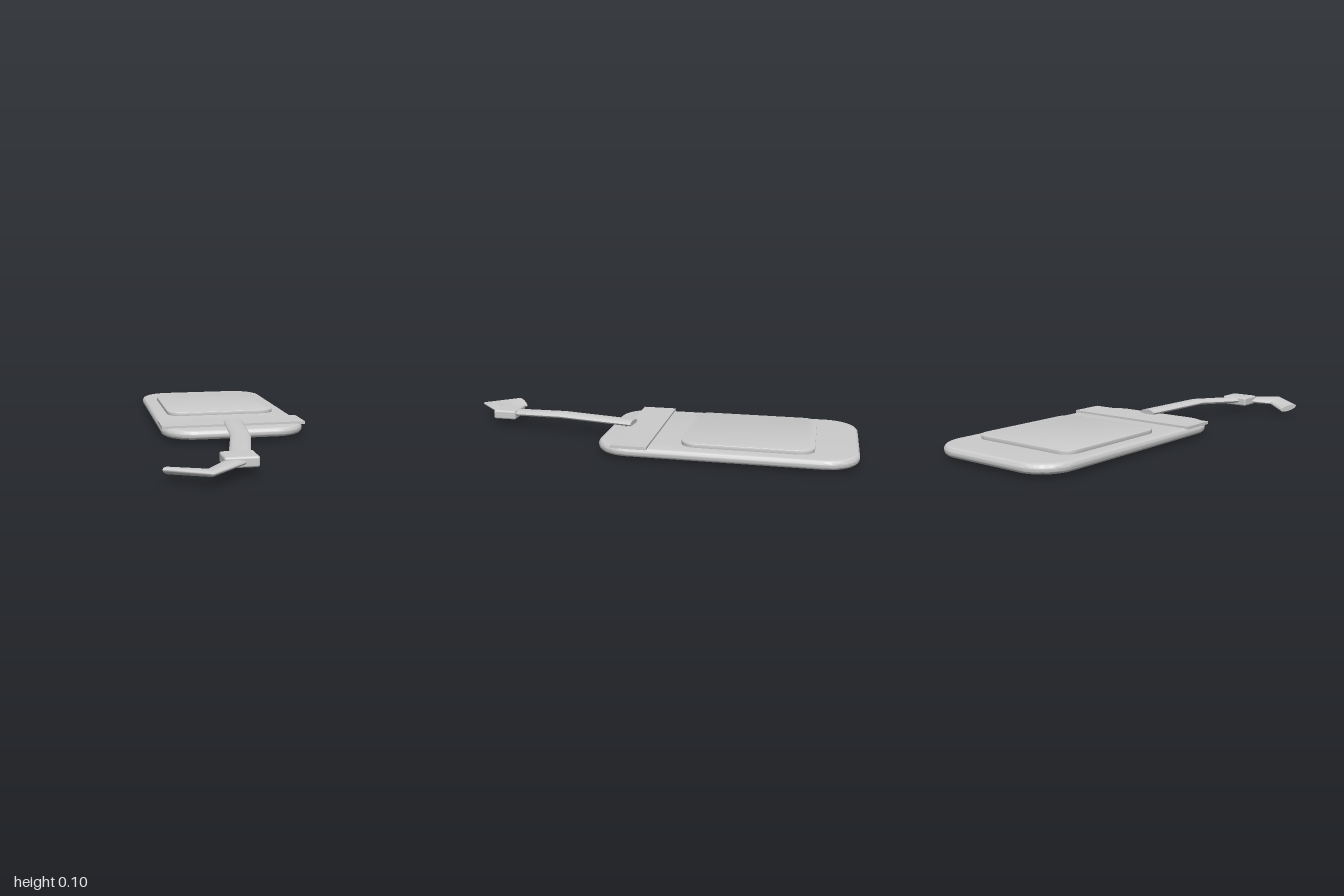
import * as THREE from 'three';
import { toCreasedNormals, mergeVertices } from 'three/addons/utils/BufferGeometryUtils.js';
import { RoundedBoxGeometry } from 'three/addons/geometries/RoundedBoxGeometry.js';

const material = new THREE.MeshStandardMaterial({ color: 0xcccccc });

function part(name, geometry, x = 0, y = 0, z = 0) {
  const mesh = new THREE.Mesh(geometry, material);
  mesh.name = name;
  mesh.position.set(x, y, z);
  return mesh;
}

// Horizontal rounded-rectangle slab, base at y = 0, with softened rims
function slab(width, length, height, radius, bevel) {
  const w = width / 2 - bevel, l = length / 2 - bevel, r = radius - bevel;
  const s = new THREE.Shape();
  s.moveTo(-w + r, -l);
  s.lineTo(w - r, -l);
  s.absarc(w - r, -l + r, r, -Math.PI / 2, 0);
  s.lineTo(w, l - r);
  s.absarc(w - r, l - r, r, 0, Math.PI / 2);
  s.lineTo(-w + r, l);
  s.absarc(-w + r, l - r, r, Math.PI / 2, Math.PI);
  s.lineTo(-w, -l + r);
  s.absarc(-w + r, -l + r, r, Math.PI, Math.PI * 1.5);
  const g = new THREE.ExtrudeGeometry(s, {
    depth: height - 2 * bevel, bevelEnabled: true, bevelSize: bevel,
    bevelThickness: bevel, bevelSegments: 6, curveSegments: 12,
  });
  g.translate(0, 0, bevel).rotateX(-Math.PI / 2);
  return toCreasedNormals(g, 0.6);
}

// Flat oval strap swept along mitred points [x, y, z, roll], capped at both ends
function strapGeometry(points, halfWidth, halfThick, sides = 24) {
  const up = new THREE.Vector3(0, 1, 0);
  const p = points.map(([x, y, z]) => new THREE.Vector3(x, y, z));
  const pos = [], idx = [], last = p.length - 1;
  p.forEach((c, i) => {
    const a = c.clone().sub(p[Math.max(i - 1, 0)]).normalize();
    const b = p[Math.min(i + 1, last)].clone().sub(c).normalize();
    const t = a.clone().add(b).normalize();
    const side = new THREE.Vector3().crossVectors(up, t).normalize();
    const top = new THREE.Vector3().crossVectors(t, side);
    const miter = i > 0 && i < last ? 1 / t.dot(a) : 1;
    side.applyAxisAngle(t, points[i][3]);
    top.applyAxisAngle(t, points[i][3]);
    for (let j = 0; j < sides; j++) {
      const k = (j / sides) * Math.PI * 2;
      const v = c.clone()
        .addScaledVector(side, Math.cos(k) * halfWidth * miter)
        .addScaledVector(top, Math.sin(k) * halfThick);
      pos.push(v.x, v.y, v.z);
      if (i < last) {
        const q = i * sides + j, n = i * sides + (j + 1) % sides;
        idx.push(q, n, q + sides, n, n + sides, q + sides);
      }
    }
  });
  // end caps
  for (let j = 1; j < sides - 1; j++) {
    const e = last * sides;
    idx.push(0, j + 1, j, e, e + j, e + j + 1);
  }
  const g = new THREE.BufferGeometry();
  g.setAttribute('position', new THREE.Float32BufferAttribute(pos, 3));
  g.setIndex(idx);
  return toCreasedNormals(mergeVertices(g), 0.7);
}

export function createModel() {
  const tag = new THREE.Group();
  tag.name = 'luggageTag';
  const cx = 0.045;

  // Body with raised panel and cross band
  tag.add(part('tagBody', slab(0.706, 1.2, 0.045, 0.16, 0.02), cx, 0.015, -0.4));
  tag.add(part('raisedPanel', slab(0.565, 0.605, 0.023, 0.07, 0.002), cx, 0.055, -0.5));
  tag.add(part('crossBand', new THREE.BoxGeometry(0.712, 0.014, 0.17), cx, 0.063, 0.025));

  // Rivet: shank, thin washer and ring on the underside
  const rivet = new THREE.Group();
  rivet.name = 'rivet';
  rivet.position.set(cx, 0, 0.095);
  rivet.add(part('rivetShank', new THREE.CylinderGeometry(0.03, 0.03, 0.07, 32), 0, 0.035, 0));
  rivet.add(part('rivetWasher', new THREE.CylinderGeometry(0.054, 0.054, 0.006, 32), 0, 0.014, 0));
  tag.add(rivet);

  // Strap with its bent tail
  tag.add(part('strap', strapGeometry([
    [0.041, 0.078, 0.085, 0],
    [-0.005, 0.086, 0.465, 0],
    [-0.085, 0.062, 0.805, 0],
    [-0.228, 0.053, 0.942, 0.15],
    [-0.373, 0.04, 0.828, 0.3],
  ], 0.046, 0.015)));

  // Clasp around the strap
  tag.add(part('clasp', new RoundedBoxGeometry(0.145, 0.046, 0.12, 4, 0.01), -0.082, 0.063, 0.79));
  return tag;
}
